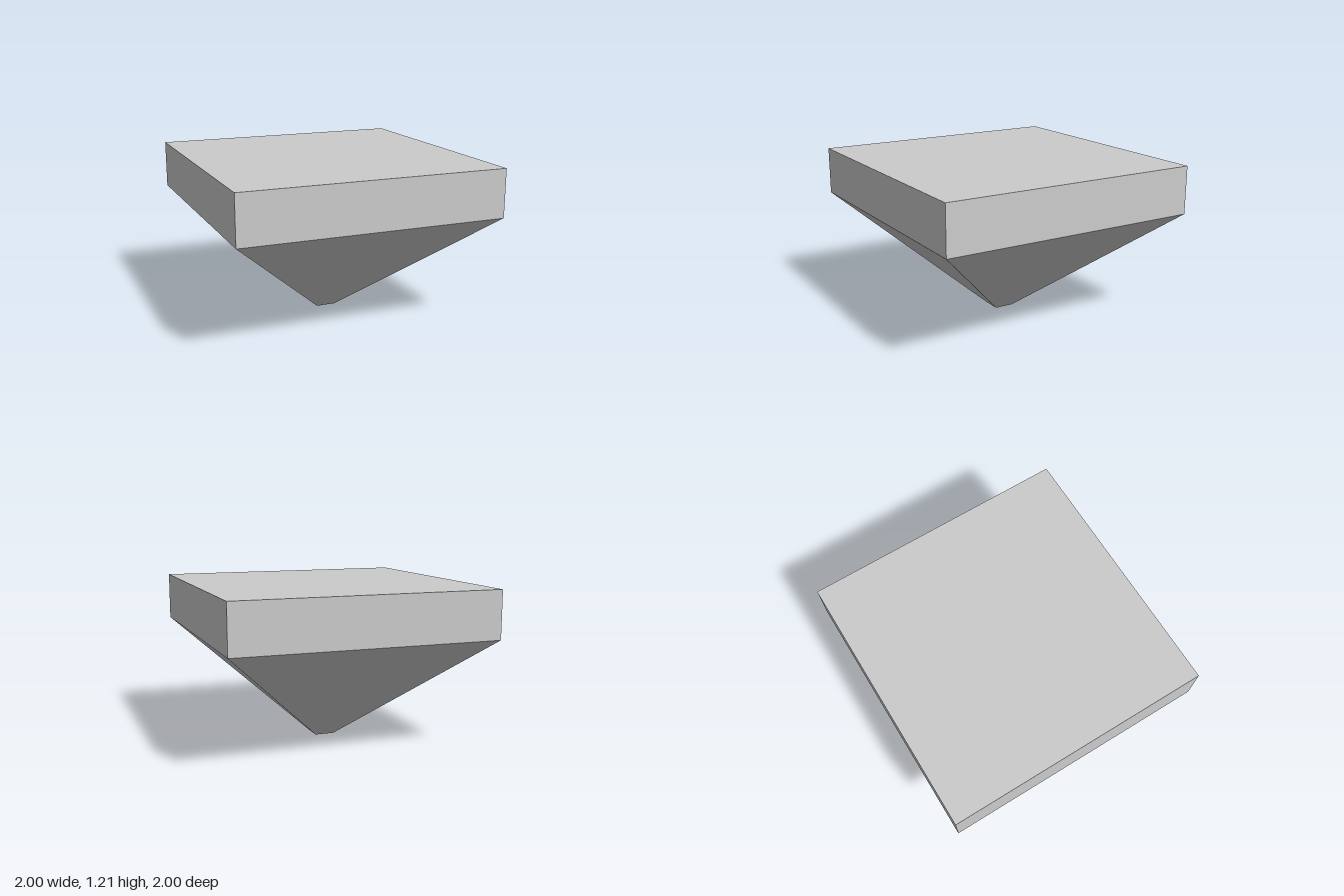
import * as THREE from 'three';

// Square-section shell from a profile of [half width, height] points, bottom to top
function squareShell(name, profile, material) {
  const points = profile.map(([half, y]) => new THREE.Vector2(half * Math.SQRT2, y));
  const mesh = new THREE.Mesh(new THREE.LatheGeometry(points, 4, Math.PI / 4), material);
  mesh.name = name;
  return mesh;
}

export function createModel() {
  const group = new THREE.Group();
  group.name = 'taperedBlock';
  const material = new THREE.MeshStandardMaterial({ color: 0xcccccc, flatShading: true });

  const rimY = 0.84, topY = 1.205, tipHalf = 0.075;

  // Inverted pyramid with a small flat tip
  group.add(squareShell('taperedBase', [[0, 0], [tipHalf, 0], [1, rimY]], material));

  // Straight-sided slab on top
  group.add(squareShell('topSlab', [[1, rimY], [1, topY], [0, topY]], material));

  return group;
}
